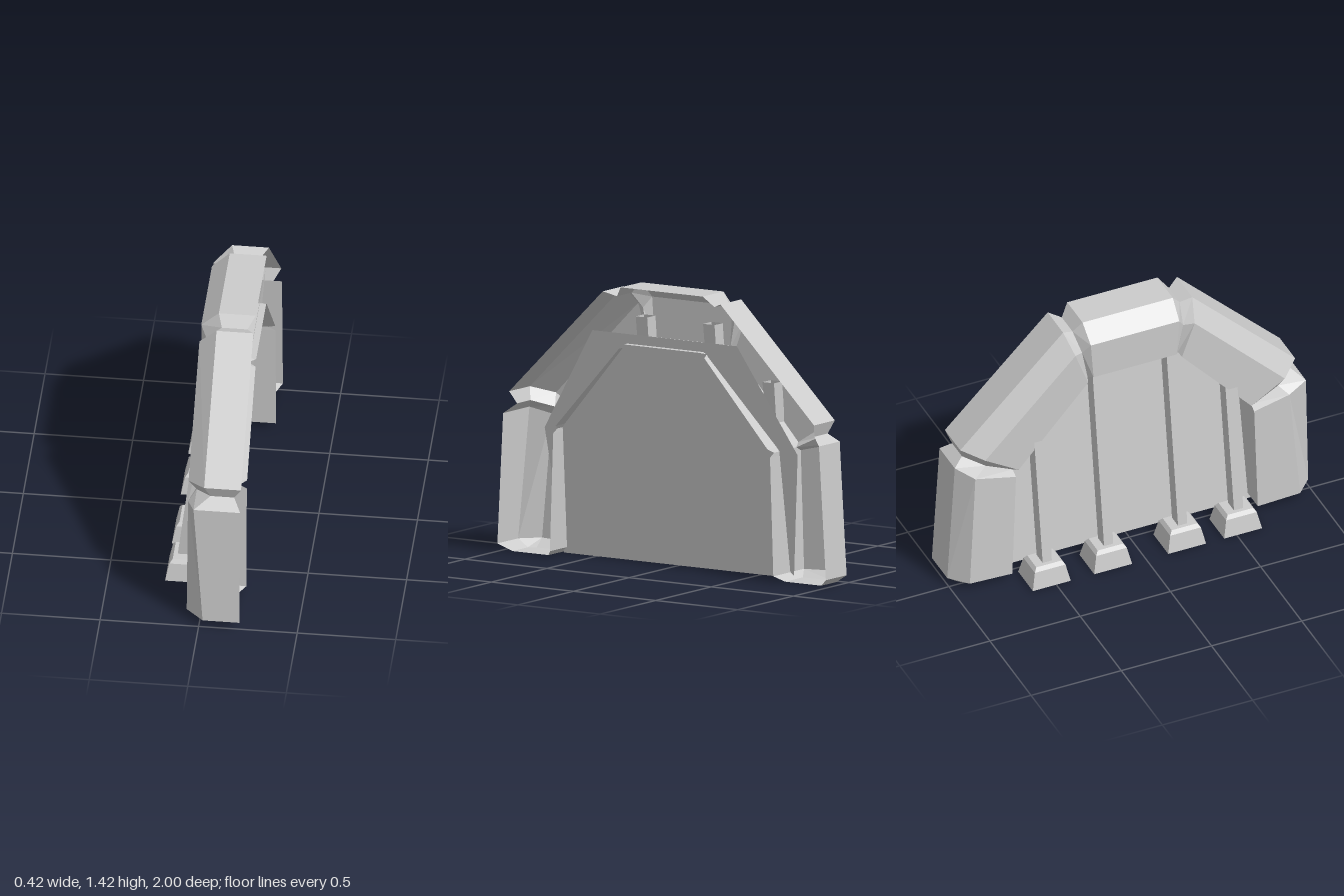
import * as THREE from 'three';

const grey = new THREE.MeshStandardMaterial({ color: 0xcccccc, flatShading: true, side: THREE.DoubleSide });

function mesh(name, geometry) {
  const m = new THREE.Mesh(geometry, grey);
  m.name = name;
  return m;
}

// Skin between equal-length cross-sections (arrays of [x, y, z]).
function loft(rings, closed) {
  const pos = [];
  const n = rings[0].length;
  for (let i = 0; i < rings.length - 1; i++) {
    for (let j = 0; j < (closed ? n : n - 1); j++) {
      const k = (j + 1) % n;
      const a = rings[i][j], b = rings[i][k], c = rings[i + 1][k], d = rings[i + 1][j];
      pos.push(...a, ...b, ...c, ...a, ...c, ...d);
    }
  }
  const g = new THREE.BufferGeometry();
  g.setAttribute('position', new THREE.Float32BufferAttribute(pos, 3));
  g.computeVertexNormals();
  return g;
}

// Rectangle ring lying flat at height y.
const rect = (x, y, z, hx, hz) => [
  [x - hx, y, z - hz], [x - hx, y, z + hz], [x + hx, y, z + hz], [x + hx, y, z - hz],
];

// Frame stations, foot to crown: outer, back and inner edge as [z, y],
// then x of the open rim, the chamfer and the back wall.
const station = (o, b, i, rim = 0.207, cham = 0.02, back = -0.07) => ({ o, b, i, rim, cham, back });
const foot = station([0.94, 0], [0.9, 0], [0.72, 0], 0.16, 0.02, 0);
const legBottom = station([1, 0.04], [0.915, 0.04], [0.68, 0.03]);
// The two legs differ in how far the chamfer wraps at the top
const leftLegTop = station([0.965, 0.71], [0.855, 0.68], [0.66, 0.635], 0.207, -0.03);
const rightLegTop = station([0.958, 0.72], [0.885, 0.69], [0.66, 0.635]);
const lowerGroove = station([0.905, 0.76], [0.81, 0.725], [0.66, 0.655], 0.17, 0.05, -0.03);
const slopeStations = [
  station([0.928, 0.825], [0.83, 0.79], [0.645, 0.675]),
  station([0.358, 1.39], [0.33, 1.295], [0.26, 1.105]),
];
const upperGroove = station([0.297, 1.365], [0.28, 1.28], [0.25, 1.12], 0.17, 0.04, -0.04);
const crownEnd = station([0.25, 1.42], [0.245, 1.335], [0.23, 1.13]);

function section({ o, b, i, rim, cham, back }, side) {
  return [
    [rim, o[1], side * o[0]], [cham, o[1], side * o[0]], [back, b[1], side * b[0]],
    [back, i[1], side * i[0]], [rim, i[1], side * i[0]],
  ];
}

export function createModel() {
  const root = new THREE.Group();
  root.name = 'archedBarrier';

  // Hollow segmented frame, open towards +x
  for (const side of [1, -1]) {
    const half = new THREE.Group();
    half.name = side > 0 ? 'leftFrame' : 'rightFrame';
    const legTop = side > 0 ? leftLegTop : rightLegTop;
    const add = (name, list) => half.add(mesh(name, loft(list.map((s) => section(s, side)), false)));
    add('leg', [foot, legBottom, legTop]);
    add('lowerJoint', [legTop, lowerGroove, slopeStations[0]]);
    add('slopedBeam', slopeStations);
    add('upperJoint', [slopeStations[1], upperGroove, crownEnd]);

    // Sole closing the bottom of the leg
    const sole = new THREE.Shape(section(foot, side).map(([x, , z]) => new THREE.Vector2(x, z)));
    half.add(mesh('legSole', new THREE.ShapeGeometry(sole).rotateX(Math.PI / 2)));
    root.add(half);
  }
  root.add(mesh('crownBeam', loft([section(crownEnd, 1), section(crownEnd, -1)], false)));

  // Flat panel filling the arch, leaning forward towards the top
  const panelRows = [[0.7, 0], [0.77, 0.645], [0.44, 1.18]];
  const panelX = (y) => 0.05 + 0.11 * y;
  root.add(mesh('panel', loft(panelRows.map(([z, y]) => [[panelX(y), y, z], [panelX(y), y, -z]]), false)));

  // Leaning struts on hollow feet behind the panel
  for (const [z, top] of [[-0.525, 0.98], [-0.185, 1.25], [0.225, 1.25], [0.535, 0.98]]) {
    const brace = new THREE.Group();
    brace.name = 'brace';
    const lean = (y) => -0.118 + (y - 0.11) * 0.12;
    brace.add(mesh('strut', loft([
      rect(lean(0.09), 0.09, z, 0.037, 0.025),
      rect(lean(top), top, z, 0.037, 0.035),
    ], true)));
    brace.add(mesh('foot', loft([
      rect(-0.12, 0, z, 0.09, 0.105),
      rect(-0.12, 0.095, z, 0.07, 0.085),
      rect(-0.12, 0.115, z, 0.055, 0.07),
      rect(-0.12, 0.115, z, 0, 0),
    ], true)));
    root.add(brace);
  }
  return root;
}
